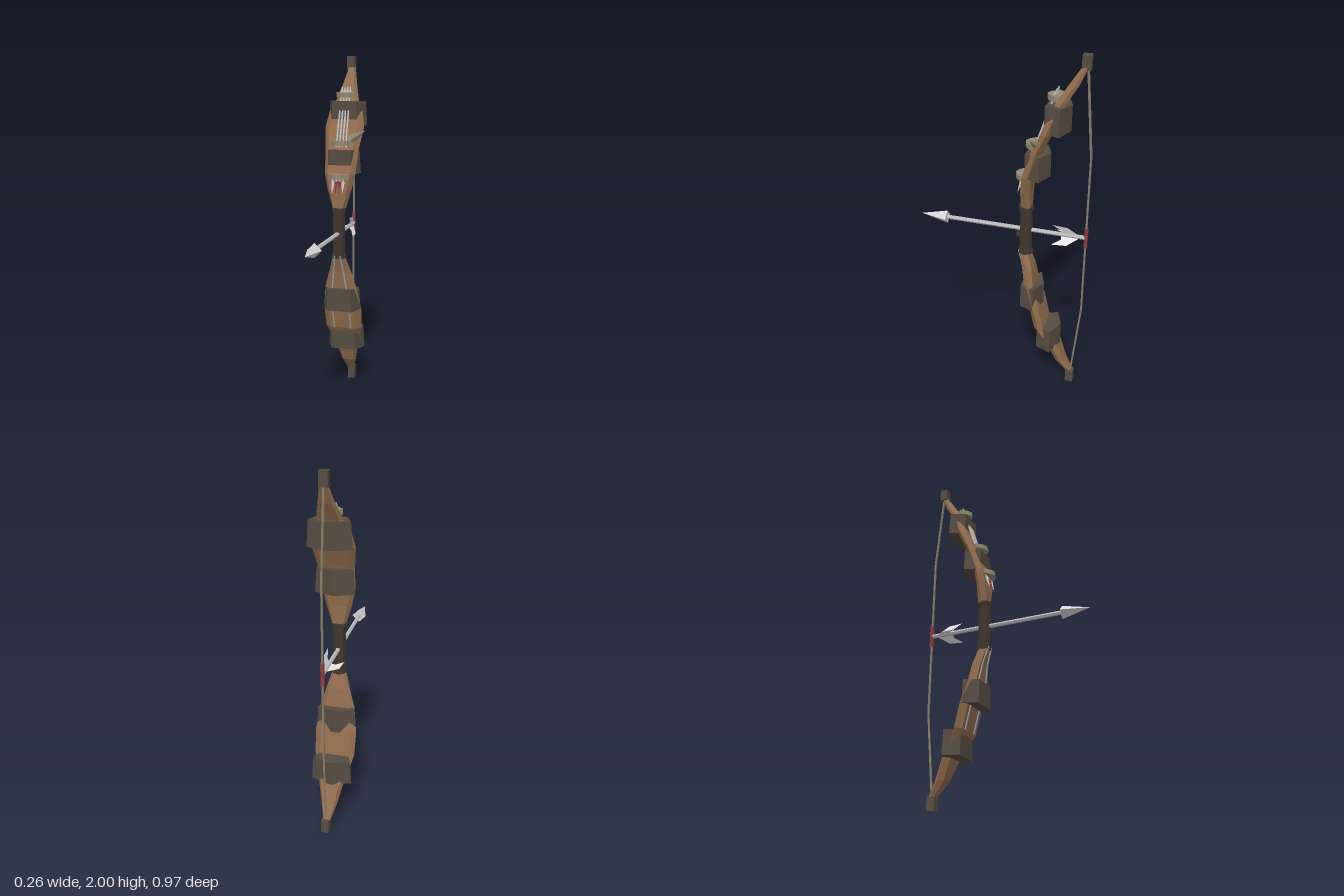
import * as THREE from 'three';

const mat = (name, color) => {
  const m = new THREE.MeshStandardMaterial({ color, flatShading: true });
  m.name = name;
  return m;
};
const CX = -0.015; // the bow's middle line

// Loft closed rings [[x, z], ...] placed at rising heights
function loft(rings) {
  const pos = [], idx = [], n = rings[0].pts.length;
  rings.forEach(r => r.pts.forEach(([x, z]) => pos.push(x, r.y, z)));
  for (let i = 0; i < rings.length - 1; i++) {
    for (let j = 0; j < n; j++) {
      const a = i * n + j, b = i * n + (j + 1) % n;
      idx.push(a, a + n, b + n, a, b + n, b);
    }
  }
  const top = (rings.length - 1) * n;
  for (let j = 1; j < n - 1; j++) idx.push(0, j, j + 1, top, top + j + 1, top + j);
  const g = new THREE.BufferGeometry();
  g.setAttribute('position', new THREE.Float32BufferAttribute(pos, 3));
  g.setIndex(idx);
  const flat = g.toNonIndexed();
  flat.computeVertexNormals();
  return flat;
}

// Flat six-sided limb section
const thick = w => Math.min(0.026, w * 0.8);
const limbRing = ([y, w, z]) => {
  const t = thick(w), f = w * 0.72;
  return { y, pts: [[w, z - 0.005], [f, z + t], [-f, z + t], [-w, z - 0.005], [-f, z - t], [f, z - t]] };
};

// Five-sided block: narrow front, wide flanks, pointed back
const blockRing = (y, w, f, front, back) => ({
  y, pts: [[w, front + (back - front) * 0.68], [f, front], [-f, front], [-w, front + (back - front) * 0.68], [0, back]],
});

export function createModel() {
  const model = new THREE.Group();
  const wood = mat('wood', 0x936d4e), leather = mat('dark leather', 0x564c41);
  const grip = mat('grip brown', 0x42362f), bone = mat('bone', 0x928a73);
  const steel = mat('steel', 0xbcbcbf), pale = mat('pale steel', 0xd4d4d6);
  const cord = mat('bowstring', 0x857d66), red = mat('red binding', 0x8f3a40);
  const feather = mat('feather', 0xe2e4e3), wire = mat('blue grey wire', 0x96a0a8);
  feather.side = THREE.DoubleSide;

  const add = (name, geo, m, x = CX, y = 0, z = 0) => {
    const mesh = new THREE.Mesh(geo, m);
    mesh.name = name;
    mesh.position.set(x, y, z);
    model.add(mesh);
    return mesh;
  };
  // Rod (or taper) between two points; turn spins it about its own axis
  const rod = (name, a, b, r0, r1, m, sides = 6, turn = 0) => {
    const p = new THREE.Vector3(...a), q = new THREE.Vector3(...b), d = q.clone().sub(p);
    const mesh = add(name, new THREE.CylinderGeometry(r1, r0, d.length(), sides).rotateY(turn), m);
    mesh.position.copy(p).add(q).multiplyScalar(0.5);
    mesh.quaternion.setFromUnitVectors(new THREE.Vector3(0, 1, 0), d.normalize());
    return mesh;
  };

  // Limbs: [height, half width, depth]
  const upper = [[1.13, 0.035, -0.14], [1.25, 0.07, -0.14], [1.34, 0.09, -0.15], [1.48, 0.098, -0.195],
    [1.6, 0.115, -0.25], [1.68, 0.1, -0.28], [1.75, 0.068, -0.31], [1.84, 0.043, -0.365], [1.94, 0.02, -0.42]];
  const lower = [[0.07, 0.02, -0.425], [0.15, 0.045, -0.37], [0.26, 0.07, -0.325], [0.4, 0.112, -0.245],
    [0.53, 0.115, -0.215], [0.665, 0.095, -0.175], [0.77, 0.065, -0.16], [0.87, 0.035, -0.13]];
  add('upperLimb', loft(upper.map(limbRing)), wood);
  add('lowerLimb', loft(lower.map(limbRing)), wood);

  // Leather wraps and limb tips
  for (const [y0, y1, w, front, back] of [
    [1.605, 1.745, 0.116, -0.24, -0.365], [1.34, 1.475, 0.105, -0.14, -0.265],
    [0.53, 0.665, 0.112, -0.13, -0.25], [0.26, 0.4, 0.113, -0.232, -0.36]]) {
    add('limbWrap', loft([blockRing(y0, w, w * 0.66, front, back), blockRing(y1, w * 0.92, w * 0.6, front, back)]), leather);
  }
  add('upperTip', new THREE.BoxGeometry(0.045, 0.075, 0.045), leather, -0.02, 1.9625, -0.425);
  add('lowerTip', new THREE.BoxGeometry(0.043, 0.08, 0.045), leather, -0.01, 0.04, -0.429);

  // Grip with end rings and a cord knot
  add('grip', new THREE.CylinderGeometry(0.036, 0.036, 0.28, 8), grip, CX, 1, -0.137);
  for (const y of [0.865, 1.138]) add('gripRing', new THREE.CylinderGeometry(0.042, 0.042, 0.02, 8), grip, CX, y, -0.137);
  const knot = add('gripKnot', new THREE.TorusGeometry(0.018, 0.006, 5, 8), grip, CX, 0.965, -0.092);
  knot.rotation.y = 0.6;

  // Bowstring and its centre binding
  const path = [[-0.02, 1.93, -0.432], [CX, 1.475, -0.474], [CX, 0.53, -0.474], [-0.01, 0.07, -0.432]];
  for (let i = 0; i < 3; i++) rod('bowstring', path[i], path[i + 1], 0.007, 0.007, cord, 4, Math.PI / 4);
  add('stringBinding', new THREE.BoxGeometry(0.018, 0.125, 0.018), red, CX, 1, -0.475);

  // Nocked arrow
  rod('arrowShaft', [CX, 1, -0.47], [CX, 1, 0.34], 0.012, 0.012, steel, 6, Math.PI / 6);
  rod('arrowHead', [CX, 1, 0.328], [CX, 1, 0.485], 0.04, 0, pale, 4);
  const vane = new THREE.Shape([[-0.44, 0.008], [-0.375, 0.06], [-0.29, 0.066], [-0.34, 0.03], [-0.34, 0.008]]
    .map(([z, r]) => new THREE.Vector2(-z, r)));
  for (let i = 0; i < 3; i++) {
    const pivot = new THREE.Group();
    pivot.name = 'arrowFletching';
    pivot.position.set(CX, 1, 0);
    pivot.rotation.z = -0.35 + i * Math.PI * 2 / 3;
    const m = new THREE.Mesh(new THREE.ShapeGeometry(vane), feather);
    m.name = 'vane';
    m.rotation.y = Math.PI / 2;
    pivot.add(m);
    model.add(pivot);
  }

  // Bone brackets with a pointed front, holding spare arrows
  for (const [y, w, front, back] of [[1.78, 0.058, -0.235, -0.325], [1.512, 0.062, -0.127, -0.21], [1.33, 0.062, -0.077, -0.15]]) {
    const side = front + (back - front) * 0.55;
    const ring = h => ({ y: h, pts: [[w, side], [w * 0.45, front + (back - front) * 0.12], [0, front],
      [-w * 0.45, front + (back - front) * 0.12], [-w, side], [-w * 0.6, back], [w * 0.6, back]] });
    add('bracket', loft([ring(y - 0.014), ring(y + 0.014)]), bone);
  }
  for (let i = 0; i < 4; i++) {
    const x = CX + (i - 1.5) * 0.016, tipX = CX + (i - 1.5) * 0.02;
    rod('spareArrow', [tipX, 1.29, -0.112], [x, 1.8, -0.28], 0.006, 0.006, steel, 4, Math.PI / 4);
    rod('spareArrowTip', [tipX, 1.3, -0.115], [tipX, 1.23, -0.092], 0.01, 0, i % 3 ? red : pale, 4);
    rod('spareArrowNock', [x, 1.79, -0.277], [x, 1.825, -0.288], 0.009, 0.003, steel, 4);
  }

  // Horn on the middle bracket
  rod('horn', [0.035, 1.53, -0.205], [0.125, 1.585, -0.18], 0.032, 0, bone, 6);

  // Thin wires down the front of the lower limb
  for (const s of [-1, 1]) {
    const pts = lower.slice(3).map(([y, w, z]) => [CX + s * w * 0.45, y, z + thick(w) + 0.002]);
    for (let i = 0; i < pts.length - 1; i++) rod('limbWire', pts[i], pts[i + 1], 0.006, 0.006, wire, 4, Math.PI / 4);
  }
  return model;
}
